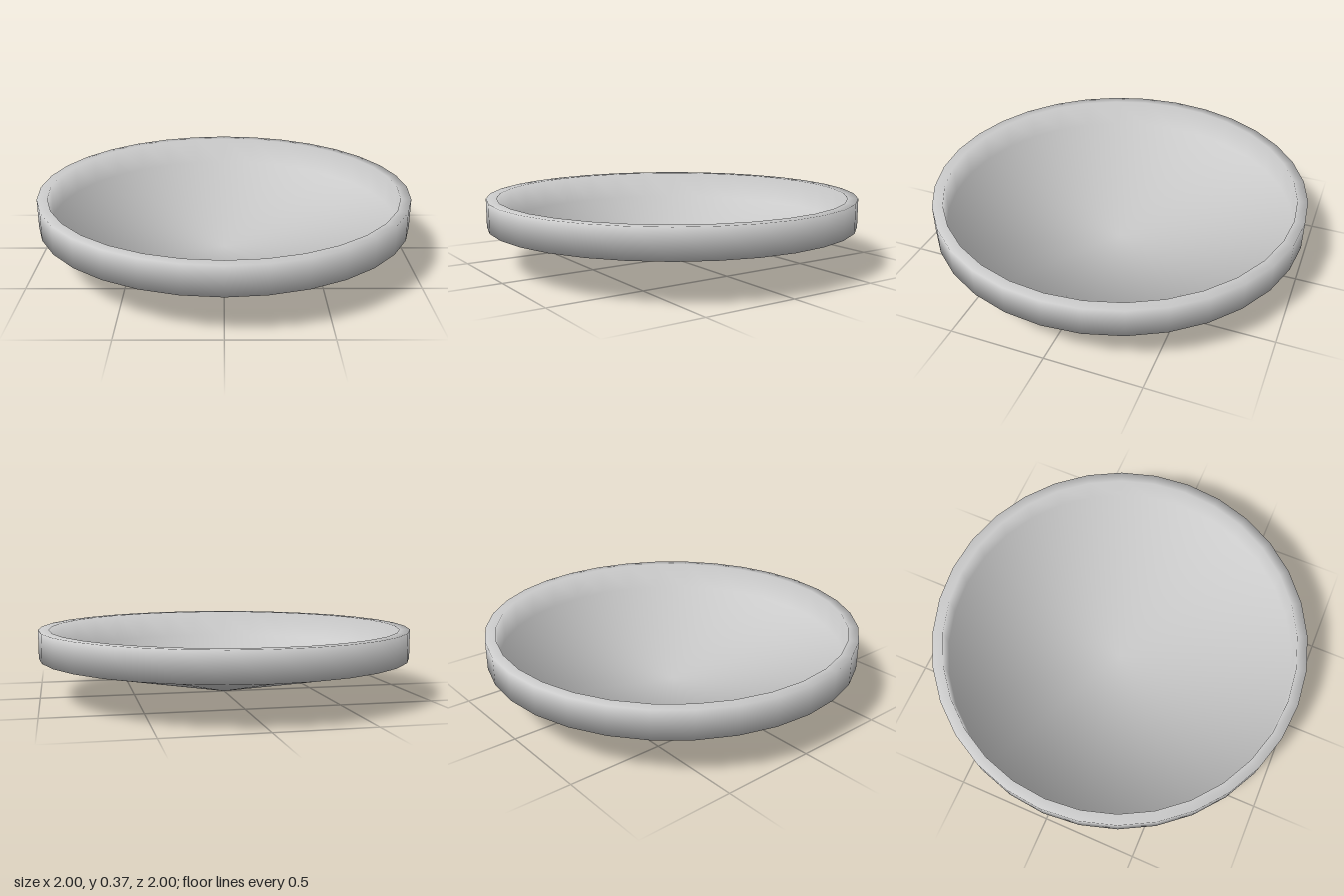
import * as THREE from 'three';

const SIDES = 32;

// Closed shell from the outer tip round the rim to the inner tip:
// radius, height, then the smooth normal's outward and upward shares
const PROFILE = [
  [0, 0, 0, -1],
  [1, 0.213, 0.777, -0.63],
  [1, 0.365, 0.707, 0.707],
  [0.945, 0.365, 0, 1],
  [0.945, 0.207, -0.777, 0.63],
  [0, 0.008, 0, 1],
];

export function createModel() {
  const model = new THREE.Group();
  model.name = 'shallowDish';

  const points = PROFILE.map(([r, y]) => new THREE.Vector2(r, y));
  const geometry = new THREE.LatheGeometry(points, SIDES);

  // Soft normals, so cones, walls and rim blend into one another
  const normal = geometry.attributes.normal;
  for (let i = 0; i <= SIDES; i++) {
    const angle = (i / SIDES) * Math.PI * 2;
    PROFILE.forEach(([, , out, up], j) => {
      normal.setXYZ(i * PROFILE.length + j, out * Math.sin(angle), up, out * Math.cos(angle));
    });
  }

  const dish = new THREE.Mesh(
    geometry,
    new THREE.MeshStandardMaterial({ color: 0xcccccc }),
  );
  dish.name = 'dishShell';
  model.add(dish);
  return model;
}
